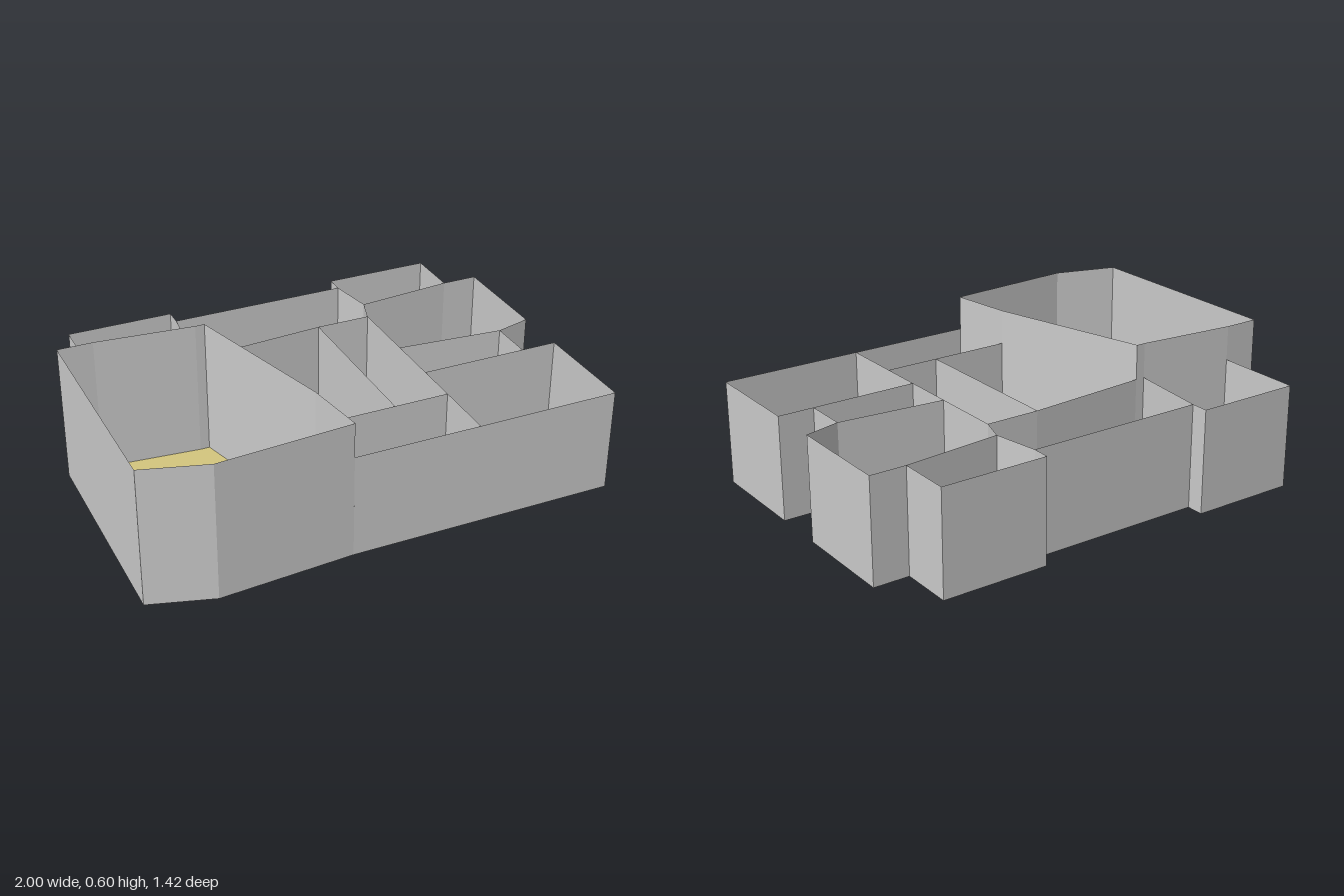
import * as THREE from 'three';

const LOW = 0.45, TALL = 0.6;

function material(name, color) {
  const m = new THREE.MeshStandardMaterial({ color, side: THREE.DoubleSide });
  m.name = name;
  return m;
}

// Room outlines as [x, z] corners; neighbouring rooms share corners
const lilac = material('lilac', 0xcac5d6);
const rooms = [
  { name: 'frontLeftHall', mat: material('sand', 0xd5c77f), height: TALL, outline: [
    [-1, -0.33], [-0.85, -0.33], [-0.425, -0.29], [-0.385, -0.29], [-0.195, 0.4],
    [-0.155, 0.67], [-0.73, 0.71], [-1, 0.63]] },
  { name: 'redRoom', mat: material('red', 0xcf3f3f), height: LOW, outline: [
    [-0.85, -0.71], [-0.39, -0.71], [-0.39, -0.635], [-0.425, -0.29], [-0.85, -0.33]] },
  { name: 'backRoom', mat: material('dark green', 0x2fa86e), height: LOW, outline: [
    [-0.39, -0.635], [0.385, -0.635], [0.42, -0.44], [0.385, -0.33], [0.15, -0.33],
    [-0.385, -0.29], [-0.425, -0.29]] },
  { name: 'backCornerRoom', mat: lilac, height: LOW, outline: [
    [0.385, -0.71], [0.845, -0.71], [0.845, -0.48], [0.42, -0.44], [0.385, -0.635]] },
  { name: 'sideRoom', mat: material('light green', 0x75d69b), height: LOW, outline: [
    [0.42, -0.44], [0.845, -0.48], [1, -0.48], [1, -0.02], [0.845, 0.02],
    [0.385, -0.02], [0.385, -0.33]] },
  { name: 'smallRoom', mat: material('blue', 0x94b3d8), height: LOW, outline: [
    [0.385, -0.02], [0.845, 0.02], [0.845, 0.21], [0.385, 0.21]] },
  { name: 'frontCornerRoom', mat: material('pale green', 0xb9d5c5), height: LOW, outline: [
    [0.385, 0.21], [0.845, 0.21], [1, 0.21], [1, 0.67], [0.385, 0.67], [0.385, 0.4]] },
  { name: 'entrance', mat: material('grey floor', 0xcac8c8), height: LOW, outline: [
    [-0.195, 0.4], [0.15, 0.4], [0.385, 0.4], [0.385, 0.67], [-0.155, 0.67]] },
  { name: 'middleRoom', mat: lilac, height: LOW, outline: [
    [-0.385, -0.29], [0.15, -0.33], [0.15, 0.4], [-0.195, 0.4]] },
  { name: 'corridor', mat: lilac, height: LOW, outline: [
    [0.15, -0.33], [0.385, -0.33], [0.385, -0.02], [0.385, 0.21], [0.385, 0.4], [0.15, 0.4]] },
];

function floorGeometry(outline) {
  const shape = new THREE.Shape(outline.map(([x, z]) => new THREE.Vector2(x, -z)));
  return new THREE.ShapeGeometry(shape).rotateX(-Math.PI / 2);
}

// One upright sheet per edge, skipping edges already built by a neighbour
function wallGeometry(outline, height, built) {
  const pos = [];
  outline.forEach((a, i) => {
    const b = outline[(i + 1) % outline.length];
    const key = [a.join(), b.join()].sort().join('|');
    if (built.has(key)) return;
    built.add(key);
    const [ax, az] = a, [bx, bz] = b;
    pos.push(ax, 0, az, ax, height, az, bx, height, bz);
    pos.push(ax, 0, az, bx, height, bz, bx, 0, bz);
  });
  const g = new THREE.BufferGeometry();
  g.setAttribute('position', new THREE.Float32BufferAttribute(pos, 3));
  g.computeVertexNormals();
  return g;
}

export function createModel() {
  const model = new THREE.Group();
  model.name = 'floorPlan';
  const wallMat = material('wall grey', 0xcccccc);
  const built = new Set();
  for (const { name, mat, height, outline } of rooms) {
    const room = new THREE.Group();
    room.name = name;
    const floor = new THREE.Mesh(floorGeometry(outline), mat);
    floor.name = name + 'Floor';
    const walls = new THREE.Mesh(wallGeometry(outline, height, built), wallMat);
    walls.name = name + 'Walls';
    room.add(floor);
    if (walls.geometry.attributes.position.count) room.add(walls);
    model.add(room);
  }
  return model;
}
